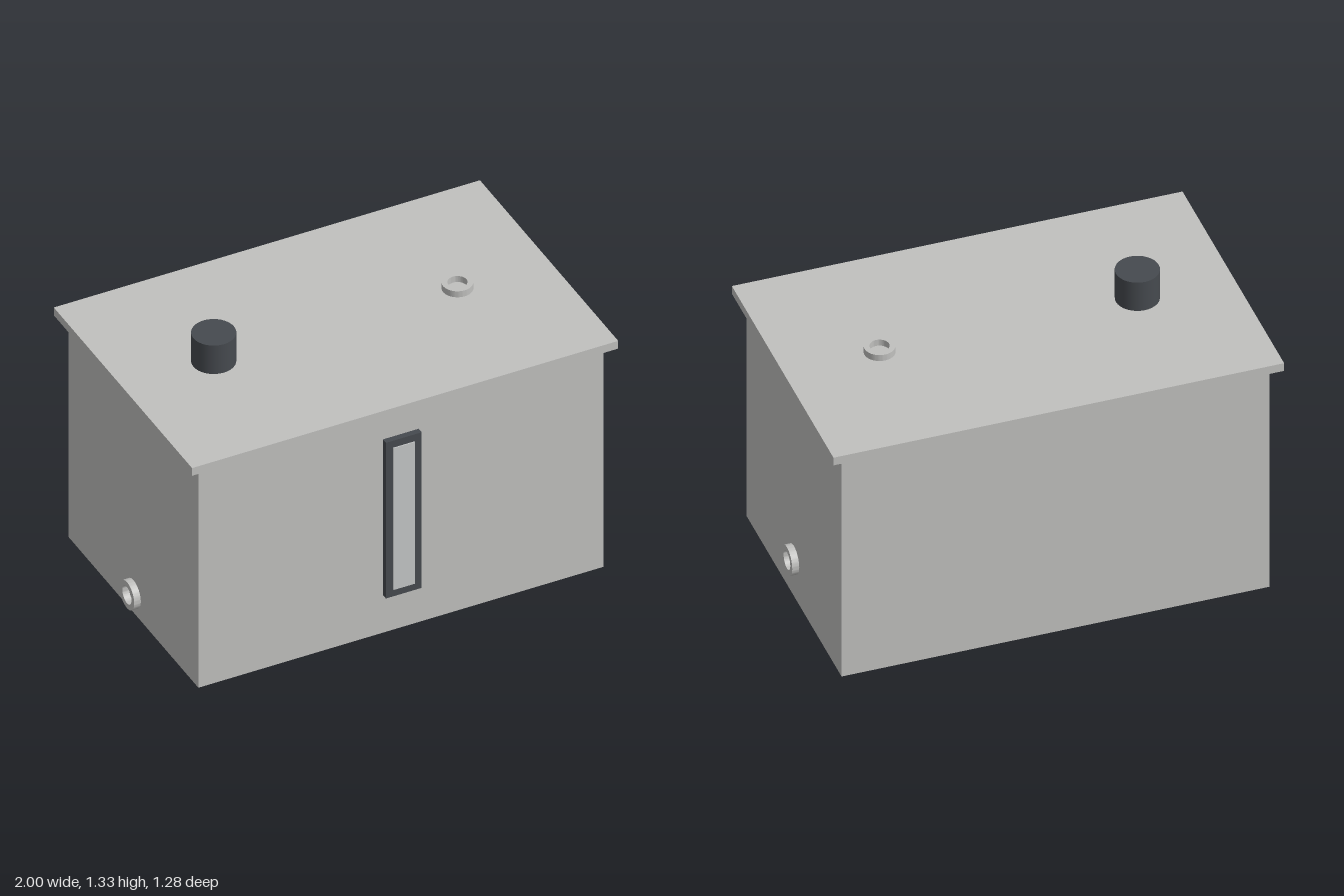
import * as THREE from 'three';
import { toCreasedNormals } from 'three/addons/utils/BufferGeometryUtils.js';

const steel = new THREE.MeshStandardMaterial({ name: 'steel', color: 0xc0c0be });
const glass = new THREE.MeshStandardMaterial({ name: 'gaugeGlass', color: 0xc4c6c6 });
const dark = new THREE.MeshStandardMaterial({ name: 'darkPlastic', color: 0x464a4f });

export function createModel() {
  const model = new THREE.Group();
  model.name = 'tank';

  const add = (name, geometry, material, x, y, z) => {
    const mesh = new THREE.Mesh(geometry, material);
    mesh.name = name;
    mesh.position.set(x, y, z);
    model.add(mesh);
    return mesh;
  };

  // Tank body and overhanging lid
  add('tankBody', new THREE.BoxGeometry(1.9, 1.14, 1.2), steel, 0, 0.57, 0);
  add('lid', new THREE.BoxGeometry(2, 0.04, 1.28), steel, 0, 1.16, 0);

  // Filler cap
  add('fillerCap', new THREE.CylinderGeometry(0.095, 0.095, 0.147, 32), dark, -0.574, 1.2535, 0);

  // Pipe fittings: short open rings rising along their local z axis
  const ring = new THREE.Shape().absarc(0, 0, 0.067, 0, Math.PI * 2, false);
  ring.holes.push(new THREE.Path().absarc(0, 0, 0.042, 0, Math.PI * 2, true));
  const ringGeometry = toCreasedNormals(
    new THREE.ExtrudeGeometry(ring, { depth: 0.031, bevelEnabled: false, curveSegments: 32 }), 0.6);
  add('ventFitting', ringGeometry, steel, 0.57, 1.18, 0).rotation.x = -Math.PI / 2;
  add('leftOutletFitting', ringGeometry, steel, 0.95, 0.194, 0).rotation.y = Math.PI / 2;
  add('rightDrainFitting', ringGeometry, steel, -0.95, 0.1, 0).rotation.y = -Math.PI / 2;

  // Level gauge: rectangular frame around a slightly proud window
  const rect = (path, w, h) => path.moveTo(-w, -h).lineTo(w, -h).lineTo(w, h).lineTo(-w, h).closePath();
  const frame = rect(new THREE.Shape(), 0.084, 0.403);
  frame.holes.push(rect(new THREE.Path(), 0.05, 0.367));
  add('gaugeFrame', new THREE.ExtrudeGeometry(frame, { depth: 0.028, bevelEnabled: false }),
    dark, 0, 0.598, 0.6);
  add('gaugeWindow', new THREE.BoxGeometry(0.1, 0.734, 0.033), glass, 0, 0.598, 0.6165);

  return model;
}
